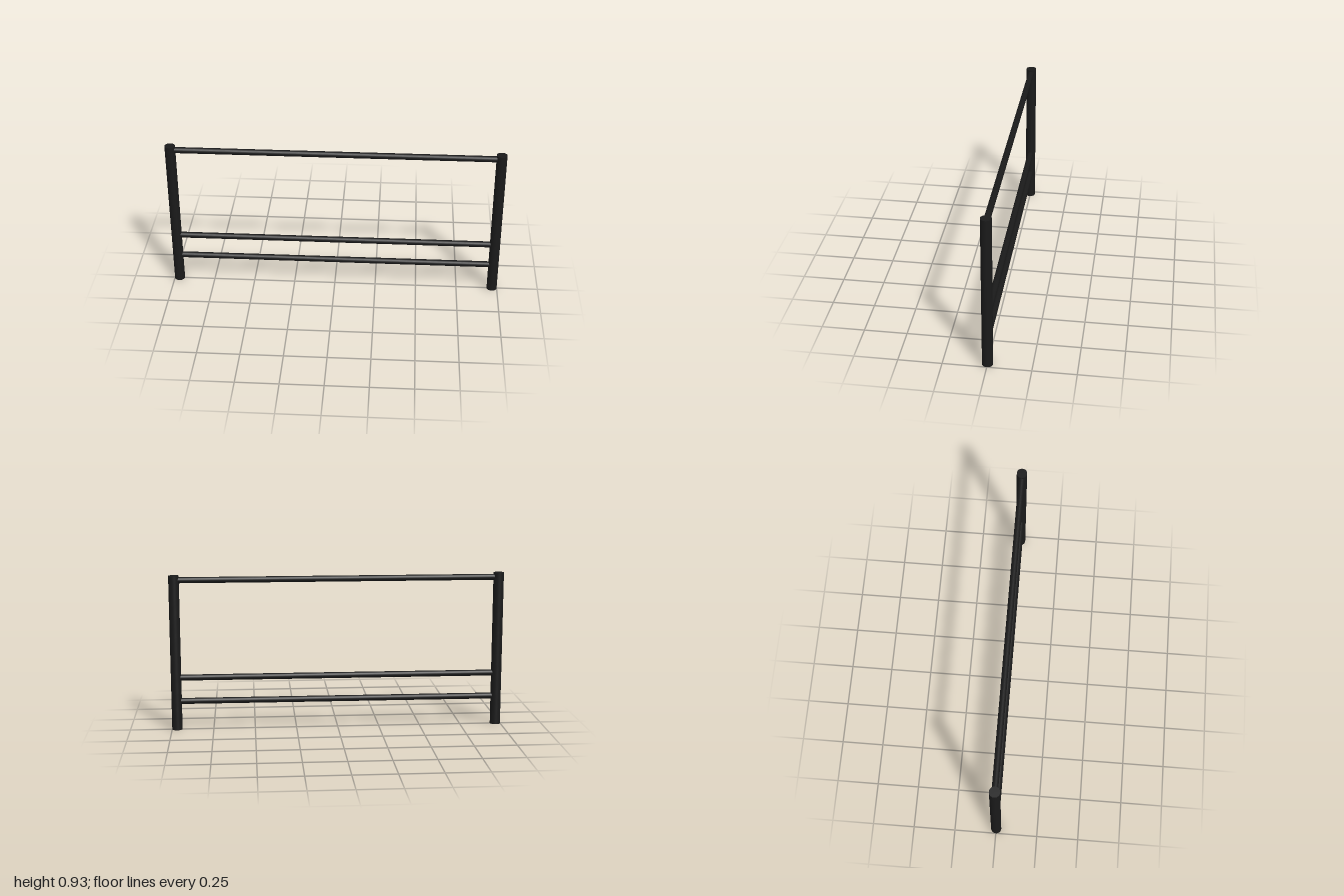
import * as THREE from 'three';

const POST_RADIUS = 0.031;
const POST_HEIGHT = 0.933;
const POST_X = 1 - POST_RADIUS;
const RAIL_RADIUS = 0.018;

export function createModel() {
  const model = new THREE.Group();
  model.name = 'railing';
  const metal = new THREE.MeshStandardMaterial({ color: 0x1a1a1a });

  // Upright posts at both ends
  const postGeometry = new THREE.CylinderGeometry(POST_RADIUS, POST_RADIUS, POST_HEIGHT, 32);
  for (const [name, side] of [['leftPost', 1], ['rightPost', -1]]) {
    const post = new THREE.Mesh(postGeometry, metal);
    post.name = name;
    post.position.set(side * POST_X, POST_HEIGHT / 2, 0);
    model.add(post);
  }

  // Horizontal rails, running into the posts
  const railGeometry = new THREE.CylinderGeometry(RAIL_RADIUS, RAIL_RADIUS, POST_X * 2, 24);
  railGeometry.rotateZ(Math.PI / 2);
  for (const [name, y] of [['topRail', 0.906], ['middleRail', 0.318], ['bottomRail', 0.174]]) {
    const rail = new THREE.Mesh(railGeometry, metal);
    rail.name = name;
    rail.position.y = y;
    model.add(rail);
  }

  return model;
}
